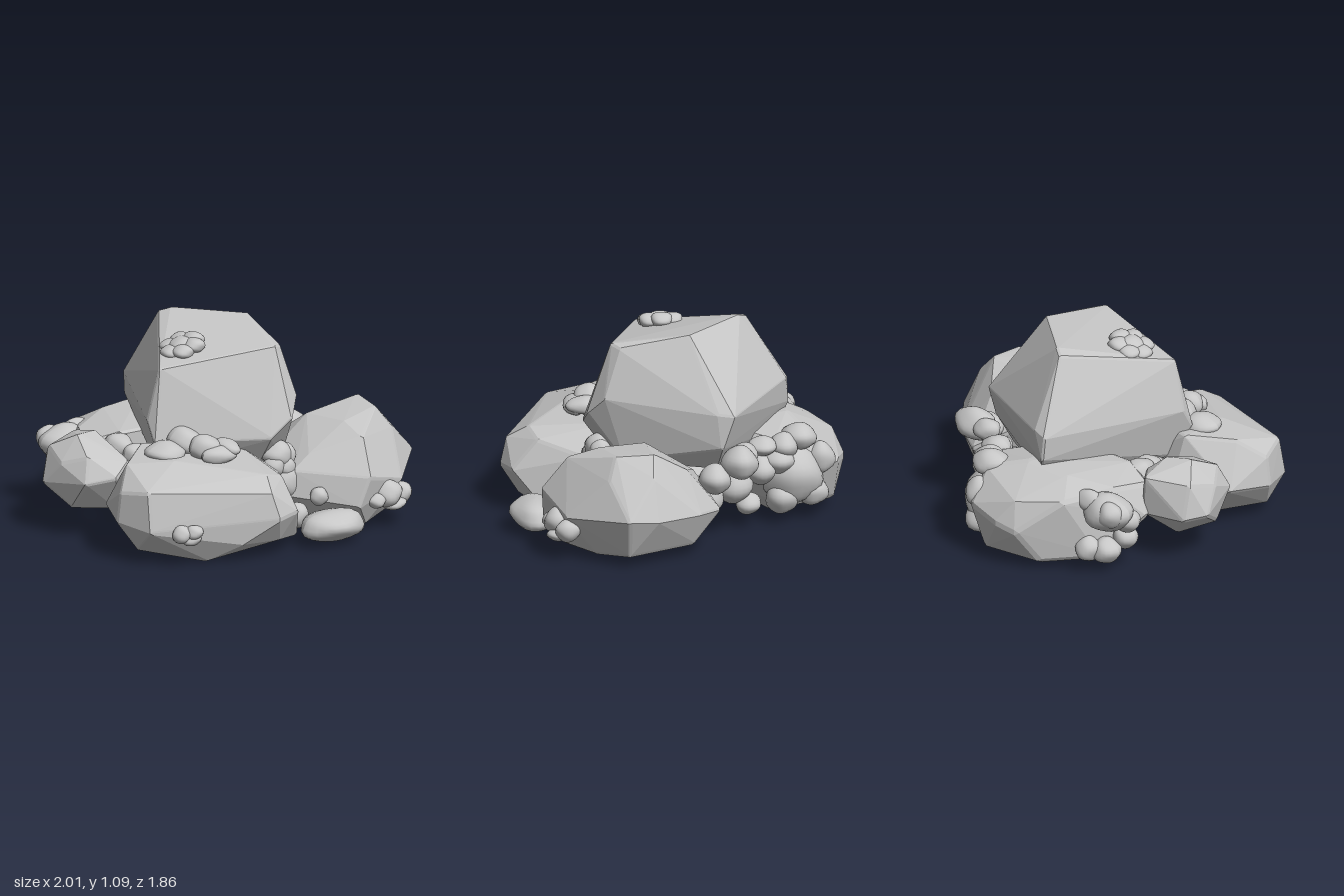
import * as THREE from 'three';
import { ConvexGeometry } from 'three/addons/geometries/ConvexGeometry.js';

const stone = new THREE.MeshStandardMaterial({ color: 0xc6c6c6 });
stone.name = 'grey stone';

// Angular boulder: hull of its corners, each corner softened by a tiny ball
function boulder(name, corners, r = 0.02) {
  const pts = corners.map(c => new THREE.Vector3(...c));
  const mid = pts.reduce((s, p) => s.add(p), new THREE.Vector3()).divideScalar(pts.length);
  const ball = new THREE.IcosahedronGeometry(r, 0).attributes.position;
  const soft = [];
  for (const p of pts) {
    const q = p.clone().addScaledVector(mid.clone().sub(p).normalize(), r);
    for (let i = 0; i < ball.count; i++) soft.push(new THREE.Vector3().fromBufferAttribute(ball, i).add(q));
  }
  const mesh = new THREE.Mesh(new ConvexGeometry(soft), stone);
  mesh.name = name;
  return mesh;
}

// Smooth, slightly uneven pebble
function pebble(x, y, z, rx, ry = rx, rz = rx, turn = 0) {
  const g = new THREE.SphereGeometry(1, 20, 14);
  const p = g.attributes.position;
  const v = new THREE.Vector3();
  for (let i = 0; i < p.count; i++) {
    v.fromBufferAttribute(p, i);
    v.multiplyScalar(1 + 0.07 * Math.sin(3 * v.x + 9 * x) * Math.cos(4 * v.y + 7 * z) + 0.03 * Math.sin(5 * v.z + 5 * y));
    p.setXYZ(i, v.x * rx, v.y * ry, v.z * rz);
  }
  g.computeVertexNormals();
  const mesh = new THREE.Mesh(g, stone);
  mesh.position.set(x, y, z);
  mesh.rotation.y = turn;
  mesh.name = 'pebble';
  return mesh;
}

function cluster(name, list) {
  const g = new THREE.Group();
  g.name = name;
  list.forEach(a => g.add(pebble(...a)));
  return g;
}

export function createModel() {
  const model = new THREE.Group();
  model.name = 'rockPile';

  // Large boulders
  model.add(boulder('topBoulder', [
    [-0.5, 0.94, 0.16], [0.12, 1.02, 0.36], [0.17, 1.01, 0.32], [0.21, 1.085, -0.06], [-0.09, 1.09, -0.36], [-0.14, 1.07, -0.4],
    [-0.57, 0.66, 0.15], [-0.57, 0.55, 0.22], [0, 0.55, 0.5], [0.14, 0.64, 0.49], [0.22, 0.74, 0.41],
    [0.43, 0.69, -0.2], [0.435, 0.68, -0.28], [0.43, 0.5, -0.22], [-0.14, 0.7, -0.62], [-0.21, 0.68, -0.635], [-0.2, 0.55, -0.64],
    [0, 0.38, 0.38], [0.2, 0.38, 0.3], [0.33, 0.36, -0.2], [-0.15, 0.4, -0.55], [-0.5, 0.38, 0.15]], 0.015));
  model.add(boulder('frontRightBoulder', [
    [-0.945, 0.22, 0.42], [-0.925, 0.38, 0.42], [-0.88, 0.2, 0.64], [-0.87, 0.41, 0.6], [-0.81, 0.49, 0.3], [-0.6, 0.525, 0.12],
    [-0.6, 0.515, 0.45], [-0.1, 0.49, 0.3], [-0.2, 0.45, 0.78], [-0.08, 0.41, 0.74], [-0.24, 0.38, 0.89], [-0.21, 0.24, 0.925],
    [-0.07, 0.25, 0.875], [-0.4, 0.11, 0.84], [-0.15, 0.1, 0.83], [0.05, 0.35, 0.5], [0.09, 0.12, 0.48], [0.02, 0.07, 0.72],
    [-0.86, 0.25, 0.18], [-0.55, 0.2, 0.05], [-0.05, 0.2, 0.15], [-0.87, 0.08, 0.5], [-0.55, 0.005, 0.7], [-0.6, 0.01, 0.3],
    [-0.15, 0.02, 0.35]]));
  model.add(boulder('frontLeftBoulder', [
    [0.76, 0.595, 0.19], [0.74, 0.585, 0.4], [0.42, 0.55, 0.2], [0.5, 0.56, 0.47], [0.5, 0.51, 0.64], [0.86, 0.49, 0.2], [0.82, 0.47, 0.44],
    [1.005, 0.29, 0.35], [0.96, 0.27, 0.19], [0.82, 0.27, 0.55], [0.91, 0.07, 0.34], [0.73, 0.24, 0.67], [0.46, 0.32, 0.775],
    [0.4, 0.16, 0.76], [0.24, 0.41, 0.5], [0.15, 0.34, 0.5], [0.12, 0.2, 0.5], [0.25, 0.41, 0.2], [0.38, 0.37, -0.06],
    [0.62, 0.22, -0.18], [0.79, 0.25, -0.06], [0.64, 0.46, 0.0], [0.72, 0.07, -0.03], [0.4, 0.08, 0.0], [0.25, 0.05, 0.5],
    [0.5, 0.03, 0.66], [0.75, 0.04, 0.51]]));
  model.add(boulder('backBoulder', [
    [-0.715, 0.28, -0.36], [-0.67, 0.42, -0.3], [-0.6, 0.44, -0.5], [-0.44, 0.41, -0.76], [-0.36, 0.5, -0.62], [-0.2, 0.39, -0.88],
    [-0.1, 0.26, -0.935], [-0.23, 0.23, -0.925], [0.1, 0.3, -0.88], [0.12, 0.46, -0.72], [-0.1, 0.53, -0.62], [0.21, 0.27, -0.71],
    [0.2, 0.45, -0.52], [0.25, 0.3, -0.45], [-0.5, 0.47, -0.22], [-0.1, 0.48, -0.2], [-0.5, 0.2, -0.22], [0.1, 0.2, -0.25],
    [-0.57, 0.07, -0.6], [-0.32, 0.05, -0.82], [0.02, 0.07, -0.86], [0.18, 0.09, -0.62], [-0.4, 0.01, -0.45], [0.0, 0.01, -0.5]], 0.03));
  model.add(boulder('smallRightBoulder', [
    [-1.005, 0.29, -0.22], [-0.93, 0.47, -0.28], [-0.93, 0.28, -0.33], [-0.7, 0.49, -0.375], [-0.68, 0.28, -0.365], [-0.83, 0.555, -0.14],
    [-0.7, 0.545, -0.18], [-0.6, 0.46, -0.23], [-0.59, 0.38, -0.03], [-0.66, 0.43, 0.1], [-0.78, 0.37, 0.165], [-0.925, 0.34, 0.09],
    [-0.88, 0.47, 0.04], [-0.97, 0.42, -0.1], [-0.93, 0.18, -0.04], [-0.8, 0.14, -0.22], [-0.72, 0.17, 0.06], [-0.61, 0.2, -0.2]], 0.02));

  // Loose single stones
  model.add(cluster('looseStones', [
    [0.21, 0.105, 0.78, 0.19, 0.085, 0.14], [0.51, 0.45, -0.3, 0.12, 0.09, 0.1], [0.54, 0.37, -0.16, 0.1, 0.08, 0.09],
    [0.4, 0.46, -0.34, 0.08, 0.06, 0.07], [0.23, 0.22, 0.62, 0.05], [0.08, 0.14, 0.62, 0.07], [0.12, 0.28, 0.43, 0.1]]));

  // Flower-like cluster on the summit
  const summit = [[-0.28, 1.015, 0.05, 0.07, 0.045, 0.07]];
  for (let i = 0; i < 6; i++) {
    const a = i * Math.PI / 3;
    summit.push([-0.28 + 0.07 * Math.cos(a), 1.012 + 0.025 * Math.cos(a), 0.05 + 0.07 * Math.sin(a), 0.06, 0.038, 0.06]);
  }
  model.add(cluster('summitStones', summit));

  // Clusters resting against the front boulders
  model.add(cluster('shoulderStones', [
    [-0.56, 0.52, 0.31, 0.11, 0.06, 0.11], [-0.43, 0.56, 0.29, 0.09, 0.075, 0.1], [-0.38, 0.55, 0.43, 0.09, 0.07, 0.08],
    [-0.27, 0.54, 0.46, 0.07, 0.05, 0.1], [-0.34, 0.52, 0.51, 0.11, 0.05, 0.06]]));
  model.add(cluster('frontStones', [
    [-0.72, 0.19, 0.72, 0.055, 0.05, 0.055], [-0.66, 0.2, 0.75, 0.05, 0.04, 0.05], [-0.67, 0.16, 0.74, 0.055, 0.035, 0.045],
    [0.09, 0.43, 0.42, 0.085, 0.07, 0.08], [0.15, 0.42, 0.42, 0.05, 0.06, 0.06], [0.05, 0.38, 0.45, 0.06], [0.12, 0.36, 0.45, 0.06],
    [0.53, 0.17, 0.73, 0.05, 0.04, 0.05], [0.62, 0.19, 0.7, 0.08, 0.075, 0.08], [0.73, 0.17, 0.66, 0.06, 0.06, 0.07], [0.66, 0.13, 0.7, 0.07, 0.035, 0.07]]));

  // Lumpy crust over the back boulder
  model.add(cluster('backLeftStones', [
    [0.25, 0.45, -0.45, 0.08, 0.05, 0.08], [0.13, 0.46, -0.66, 0.1, 0.07, 0.1], [0.26, 0.25, -0.29, 0.11, 0.11, 0.11],
    [0.15, 0.25, -0.62, 0.14, 0.16, 0.17], [0.26, 0.13, -0.37, 0.07, 0.06, 0.07], [0.14, 0.15, -0.73, 0.09, 0.08, 0.09],
    [0.33, 0.2, -0.15, 0.1, 0.09, 0.08], [0.12, 0.33, -0.78, 0.07, 0.09, 0.08], [0.23, 0.36, -0.54, 0.09, 0.07, 0.09],
    [0.2, 0.43, -0.57, 0.09, 0.07, 0.08], [0.2, 0.14, -0.56, 0.09], [0.27, 0.32, -0.44, 0.08], [0.32, 0.38, -0.34, 0.08, 0.06, 0.08]]));
  model.add(cluster('backRightStones', [
    [-0.62, 0.35, -0.6, 0.14, 0.1, 0.13], [-0.68, 0.37, -0.66, 0.07], [-0.52, 0.4, -0.63, 0.1, 0.06, 0.06], [-0.7, 0.3, -0.53, 0.07],
    [-0.61, 0.12, -0.6, 0.08, 0.07, 0.08], [-0.53, 0.13, -0.66, 0.07], [-0.66, 0.18, -0.5, 0.07],
    [-0.53, 0.42, -0.2, 0.08, 0.07, 0.1], [-0.5, 0.4, -0.08, 0.07, 0.06, 0.08], [-0.58, 0.33, -0.28, 0.09], [-0.47, 0.32, 0.02, 0.09]]));

  // Rubble packed between and under the boulders
  let seed = 7;
  const rnd = () => (seed = (seed * 16807) % 2147483647) / 2147483647;
  const rubble = [[-0.08, 0.28, -0.03, 0.36, 0.14, 0.3]];
  for (let i = 0; i < 44; i++) {
    const a = i * 2.4, d = Math.sqrt((i + 0.5) / 44), r = 0.05 + 0.045 * rnd();
    rubble.push([-0.05 + 0.42 * d * Math.cos(a), 0.15 + 0.1 * rnd(), 0.32 * d * Math.sin(a), r, r * 0.8, r, a]);
  }
  model.add(cluster('rubble', rubble));

  return model;
}
